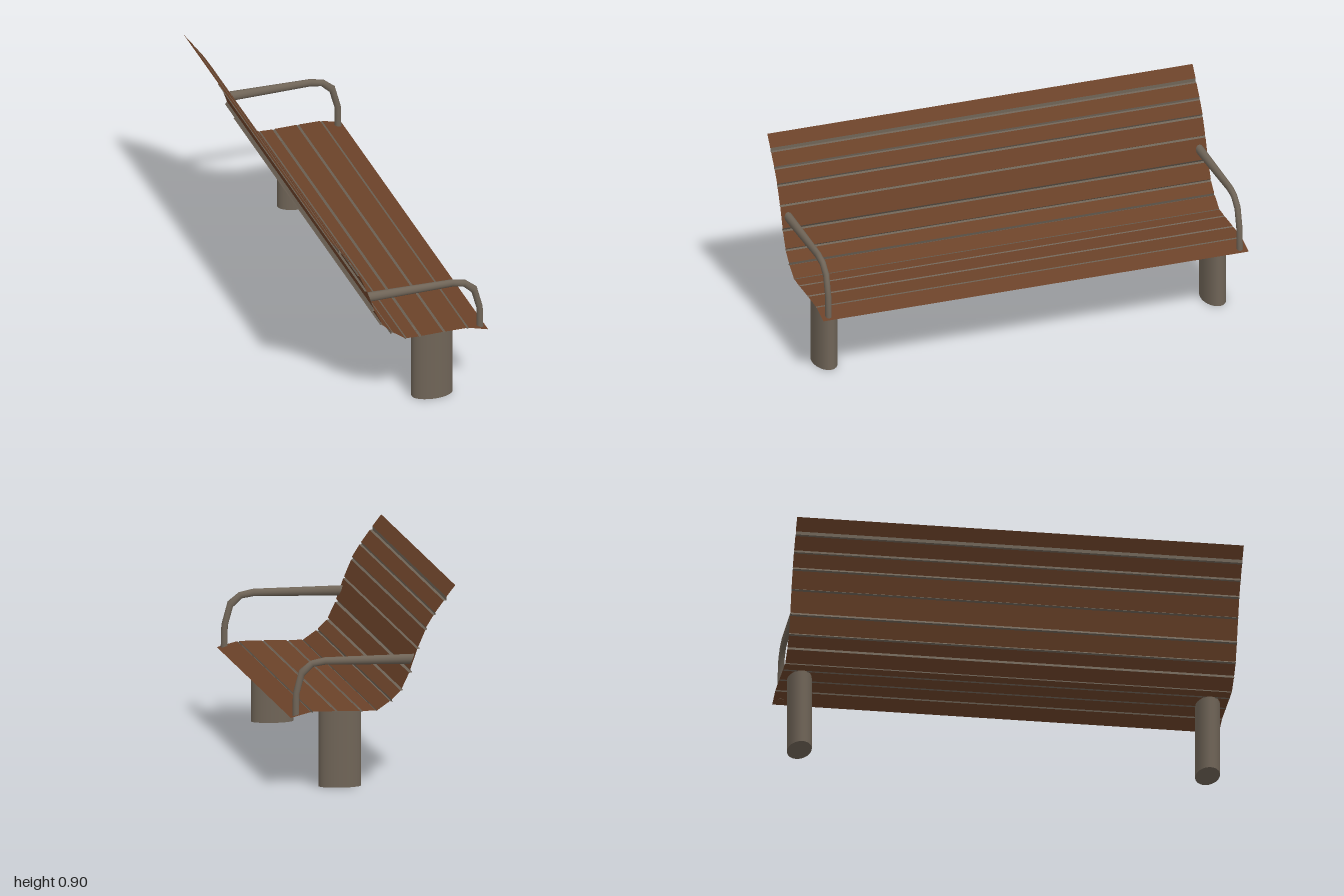
import * as THREE from 'three';

const wood = new THREE.MeshStandardMaterial({ color: 0x6b4229, side: THREE.DoubleSide });
const metal = new THREE.MeshStandardMaterial({ color: 0x6f6457, side: THREE.DoubleSide });

// Slats in side profile, from the top of the back to the front lip: [x, y] start and end
const slats = [
  [-0.37, 0.9, -0.33, 0.848], [-0.318, 0.831, -0.28, 0.779],
  [-0.272, 0.767, -0.239, 0.714], [-0.235, 0.7, -0.203, 0.626],
  [-0.199, 0.617, -0.168, 0.526], [-0.163, 0.512, -0.13, 0.443],
  [-0.125, 0.433, -0.085, 0.395], [-0.077, 0.388, -0.02, 0.348],
  [-0.013, 0.348, 0.044, 0.346], [0.056, 0.347, 0.156, 0.349],
  [0.168, 0.349, 0.268, 0.349], [0.277, 0.348, 0.368, 0.324],
];
// Bottom of the groove below each slat
const grooves = [
  [-0.33, 0.833], [-0.282, 0.769], [-0.244, 0.705], [-0.211, 0.621],
  [-0.177, 0.514], [-0.137, 0.436], [-0.089, 0.383], [-0.02, 0.343],
  [0.049, 0.342], [0.161, 0.345], [0.27, 0.343],
];

// Flat strips along the bench's length; each strip is [x0, y0, x1, y1], facing up and forward
function strips(list, material, name) {
  const pos = [];
  for (const [x0, y0, x1, y1] of list) {
    const a = [x0, y0, -1], b = [x0, y0, 1], c = [x1, y1, 1], d = [x1, y1, -1];
    pos.push(...a, ...b, ...c, ...a, ...c, ...d);
  }
  const geo = new THREE.BufferGeometry();
  geo.setAttribute('position', new THREE.Float32BufferAttribute(pos, 3));
  geo.computeVertexNormals();
  const mesh = new THREE.Mesh(geo, material);
  mesh.name = name;
  return mesh;
}

// Tapered bent tube: each section gives its outer and inner edge and its half width in z
const armSections = [
  [-0.19, 0.592, -0.172, 0.547, 0.019], [0.21, 0.587, 0.21, 0.553, 0.015],
  [0.275, 0.573, 0.26, 0.545, 0.014], [0.325, 0.533, 0.301, 0.507, 0.014],
  [0.353, 0.43, 0.324, 0.425, 0.014], [0.356, 0.327, 0.325, 0.334, 0.014],
];
function armGeometry(sides = 12) {
  const pos = [], index = [];
  armSections.forEach(([ox, oy, ix, iy, rz], s) => {
    for (let k = 0; k < sides; k++) {
      const t = (k / sides) * Math.PI * 2, u = (1 + Math.cos(t)) / 2;
      pos.push(ix + (ox - ix) * u, iy + (oy - iy) * u, rz * Math.sin(t));
      if (s === 0) continue;
      const n = (k + 1) % sides, p = (s - 1) * sides, q = s * sides;
      index.push(p + k, p + n, q + k, p + n, q + n, q + k);
    }
  });
  const geo = new THREE.BufferGeometry();
  geo.setAttribute('position', new THREE.Float32BufferAttribute(pos, 3));
  geo.setIndex(index);
  geo.computeVertexNormals();
  return geo;
}

export function createModel() {
  const bench = new THREE.Group();
  bench.name = 'bench';

  // Wooden slats of back and seat
  bench.add(strips(slats.slice(0, 8), wood, 'backSlats'));
  bench.add(strips(slats.slice(8), wood, 'seatSlats'));

  // V-shaped grooves joining neighbouring slats
  const joints = grooves.flatMap(([gx, gy], i) => [
    [slats[i][2], slats[i][3], gx, gy],
    [gx, gy, slats[i + 1][0], slats[i + 1][1]],
  ]);
  bench.add(strips(joints, metal, 'slatGrooves'));

  // Oval legs and armrests at both ends
  const legGeo = new THREE.CylinderGeometry(1, 1, 0.345, 32);
  legGeo.scale(0.095, 1, 0.054);
  const armGeo = armGeometry();
  for (const [side, label] of [[1, 'right'], [-1, 'left']]) {
    const leg = new THREE.Mesh(legGeo, metal);
    leg.name = label + 'Leg';
    leg.position.set(0.134, 0.1725, side * 0.914);
    const arm = new THREE.Mesh(armGeo, metal);
    arm.name = label + 'Armrest';
    arm.position.z = side * 0.967;
    bench.add(leg, arm);
  }
  return bench;
}
